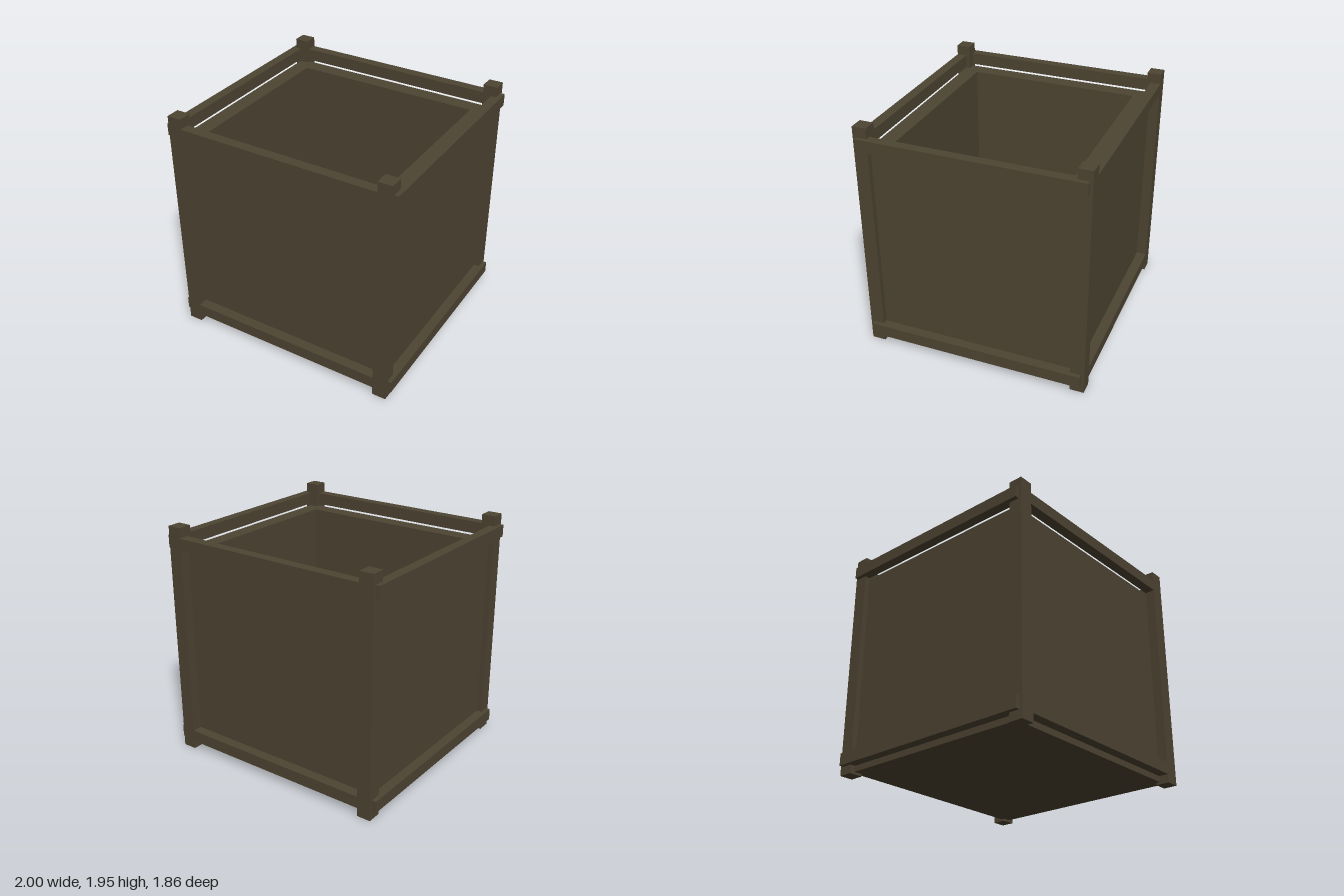
import * as THREE from 'three';

export function createModel() {
  const model = new THREE.Group();
  model.name = 'planterBox';
  const wood = new THREE.MeshStandardMaterial({ color: 0x4e4533 });
  wood.name = 'dark wood';

  const add = (name, geometry, x, y, z) => {
    const mesh = new THREE.Mesh(geometry, wood);
    mesh.name = name;
    mesh.position.set(x, y, z);
    model.add(mesh);
    return mesh;
  };
  const rectangle = (path, x, z) => path
    .moveTo(-x, -z).lineTo(x, -z).lineTo(x, z).lineTo(-x, z).closePath();

  // Thick walls around an open, square well
  const outline = rectangle(new THREE.Shape(), 0.92, 0.847);
  outline.holes.push(rectangle(new THREE.Path(), 0.79, 0.717));
  const walls = new THREE.ExtrudeGeometry(outline, { depth: 1.73, bevelEnabled: false });
  walls.rotateX(-Math.PI / 2);
  add('walls', walls, 0, 0.02, 0);

  // Floor closing the well
  add('floor', new THREE.BoxGeometry(1.58, 0.13, 1.434), 0, 0.085, 0);

  // Corner posts
  const post = new THREE.BoxGeometry(0.117, 1.95, 0.115);
  for (const x of [-1, 1]) {
    for (const z of [-1, 1]) add('cornerPost', post, x * 0.9065, 0.975, z * 0.8725);
  }

  // Rails: flush with the posts at front and back, proud of them at the sides
  const longRail = new THREE.BoxGeometry(1.696, 0.1, 0.083);
  const sideRail = new THREE.BoxGeometry(0.08, 0.1, 1.81);
  for (const [level, y] of [['lower', 0.12], ['upper', 1.816]]) {
    for (const s of [-1, 1]) {
      add(level + (s > 0 ? 'FrontRail' : 'BackRail'), longRail, 0, y, s * 0.8885);
      add(level + (s > 0 ? 'LeftRail' : 'RightRail'), sideRail, s * 0.96, y, 0);
    }
  }
  return model;
}
